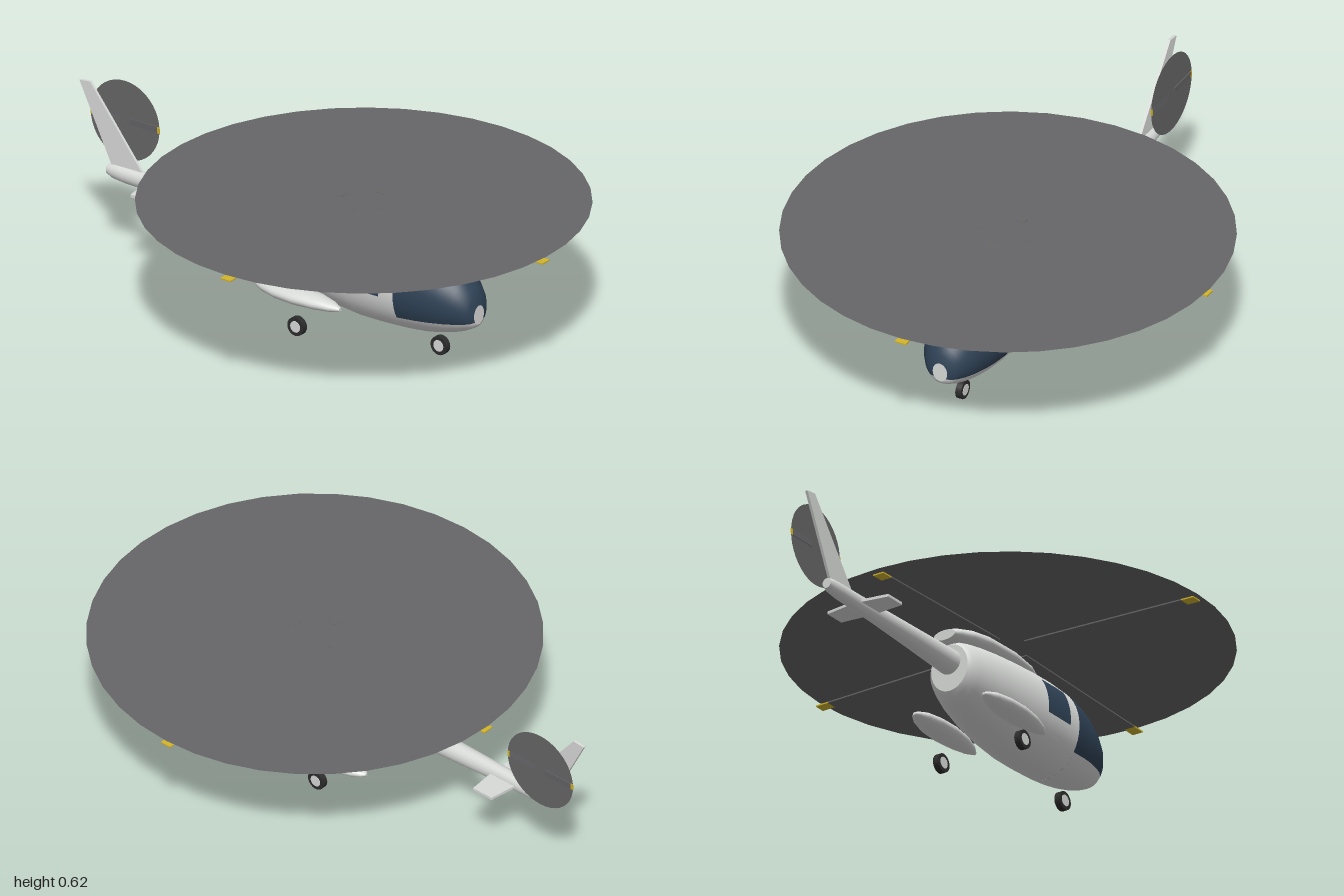
import * as THREE from 'three';

const mat = (name, color, side = THREE.FrontSide) => {
  const m = new THREE.MeshStandardMaterial({ color, side });
  m.name = name;
  return m;
};

// Linear interpolation in stations [z, bottom, top, halfWidth], z descending
function sectionAt(stations, z) {
  let i = 0;
  while (i < stations.length - 2 && stations[i + 1][0] > z) i++;
  const a = stations[i], b = stations[i + 1];
  const t = (z - a[0]) / (b[0] - a[0]);
  return a.map((v, k) => v + (b[k] - v) * t);
}

// Skin elliptical stations; range(z, cy, ry) limits the angles for open panels
function loft(stations, { range = null, caps = [false, false], n = 32, grow = 0 } = {}) {
  const pos = [], idx = [], cols = range ? n + 1 : n;
  const rings = stations.map(([z, bot, top, hw]) => {
    const cy = (bot + top) / 2, ry = (top - bot) / 2;
    const [a0, a1] = range ? range(z, cy, ry) : [0, Math.PI * 2];
    return Array.from({ length: cols }, (_, j) => {
      const a = a0 + (a1 - a0) * j / n;
      return [(hw + grow) * Math.cos(a), cy + (ry + grow) * Math.sin(a), z];
    });
  });
  rings.forEach(r => r.forEach(p => pos.push(...p)));
  for (let i = 0; i < rings.length - 1; i++) {
    for (let j = 0; j < n; j++) {
      const k = (j + 1) % cols, a = i * cols, b = a + cols;
      idx.push(a + j, b + j, a + k, b + j, b + k, a + k);
    }
  }
  // End caps with their own vertices, so the rim stays sharp
  [0, rings.length - 1].forEach((r, e) => {
    if (!caps[e]) return;
    const [z, bot, top] = stations[r], c = pos.length / 3;
    pos.push(0, (bot + top) / 2, z);
    rings[r].forEach(p => pos.push(...p));
    for (let j = 0; j < n; j++) {
      const p = c + 1 + j, q = c + 1 + (j + 1) % n;
      idx.push(c, ...(e ? [q, p] : [p, q]));
    }
  });
  const g = new THREE.BufferGeometry();
  g.setAttribute('position', new THREE.Float32BufferAttribute(pos, 3));
  g.setIndex(idx);
  g.computeVertexNormals();
  return g;
}

export function createModel() {
  const white = mat('bodyWhite', 0xd8dad8);
  const glass = mat('darkGlass', 0x2f4256, THREE.DoubleSide);
  const grey = mat('rotorGrey', 0x666668, THREE.DoubleSide);
  const yellow = mat('tipYellow', 0xd2b42c);
  const rubber = mat('tyreBlack', 0x2c2c2c);
  const model = new THREE.Group();
  const add = (name, geo, material, parent = model) => {
    const m = new THREE.Mesh(geo, material);
    m.name = name;
    parent.add(m);
    return m;
  };

  // Cabin: glass above the sill line, painted nose below it
  const nose = [
    [0.71, 0.155, 0.225, 0.028], [0.704, 0.145, 0.255, 0.05], [0.69, 0.136, 0.285, 0.068],
    [0.66, 0.121, 0.32, 0.089], [0.62, 0.107, 0.35, 0.106], [0.57, 0.094, 0.377, 0.121],
    [0.52, 0.085, 0.396, 0.131], [0.445, 0.077, 0.41, 0.139],
  ];
  const rear = [
    [0.445, 0.077, 0.41, 0.139], [0.35, 0.072, 0.416, 0.141], [0.25, 0.072, 0.414, 0.141],
    [0.15, 0.083, 0.408, 0.138], [0.05, 0.104, 0.4, 0.129], [-0.03, 0.127, 0.391, 0.116],
    [-0.09, 0.15, 0.381, 0.1], [-0.12, 0.167, 0.373, 0.089], [-0.135, 0.188, 0.36, 0.075],
  ];
  const angleAt = (y, cy, ry) => Math.asin(THREE.MathUtils.clamp((y - cy) / ry, -1, 1));
  const sill = (z, cy, ry) => angleAt(0.15 + 0.07 * (z - 0.445), cy, ry);
  add('canopy', loft(nose, { range: (z, cy, ry) => {
    const a = sill(z, cy, ry);
    return [a, Math.PI - a];
  } }), glass);
  add('lowerNose', loft(nose, { range: (z, cy, ry) => {
    const a = sill(z, cy, ry);
    return [Math.PI - a, Math.PI * 2 + a];
  } }), white);
  const cap = add('noseCap', new THREE.CircleGeometry(1, 24), white);
  cap.scale.set(0.028, 0.035, 1);
  cap.position.set(0, 0.19, 0.71);
  add('fuselage', loft(rear, { caps: [false, true], n: 40 }), white);

  // Side windows hugging the fuselage
  const windowStations = [0.387, 0.35, 0.3, 0.255].map(z => sectionAt(rear, z));
  for (const s of [1, -1]) {
    add('sideWindow', loft(windowStations, { n: 8, grow: 0.003, range: (z, cy, ry) => {
      const lo = angleAt(0.222, cy, ry), hi = angleAt(0.35, cy, ry);
      return s > 0 ? [lo, hi] : [Math.PI - hi, Math.PI - lo];
    } }), glass);
  }

  // Engine cowl
  add('engineCowl', loft([
    [0.36, 0.395, 0.413, 0.015], [0.32, 0.39, 0.422, 0.05], [0.26, 0.38, 0.433, 0.072],
    [0.15, 0.37, 0.443, 0.086], [0, 0.362, 0.441, 0.087], [-0.08, 0.362, 0.431, 0.077],
    [-0.14, 0.364, 0.416, 0.058], [-0.165, 0.368, 0.405, 0.044],
  ], { caps: [true, true] }), white);

  // Tail boom
  add('tailBoom', loft([
    [-0.1, 0.248, 0.341, 0.047], [-0.35, 0.261, 0.339, 0.037], [-0.6, 0.271, 0.337, 0.027],
    [-0.8, 0.277, 0.335, 0.025], [-0.85, 0.282, 0.334, 0.022], [-0.873, 0.292, 0.328, 0.017],
  ], { caps: [true, true], n: 24 }), white);

  // Thin swept plates from outlines
  const plate = (points, depth) => {
    const g = new THREE.ExtrudeGeometry(
      new THREE.Shape(points.map(p => new THREE.Vector2(...p))), { depth, bevelEnabled: false });
    return g.translate(0, 0, -depth / 2);
  };
  // Fin outline is (-z, y)
  const fin = add('tailFin', plate([[0.72, 0.325], [0.855, 0.325], [0.995, 0.61], [0.95, 0.615]], 0.01), white);
  fin.rotation.y = Math.PI / 2;
  // Stabilizer outline is (x, -z)
  const stabilizer = add('stabilizer', plate([
    [-0.126, 0.602], [0, 0.592], [0.126, 0.602], [0.126, 0.685], [0, 0.705], [-0.126, 0.685],
  ], 0.01), white);
  stabilizer.rotation.x = -Math.PI / 2;
  stabilizer.position.y = 0.303;

  // Side pods with main wheels
  const podGeo = loft([
    [0.225, 0.122, 0.136, 0.007], [0.19, 0.114, 0.149, 0.026], [0.13, 0.109, 0.159, 0.043],
    [0.05, 0.107, 0.164, 0.053], [-0.03, 0.11, 0.164, 0.05], [-0.09, 0.118, 0.16, 0.036],
    [-0.125, 0.128, 0.151, 0.018], [-0.137, 0.135, 0.145, 0.006],
  ], { caps: [true, true], n: 24 });
  const tyreGeo = new THREE.CylinderGeometry(0.034, 0.034, 0.022, 20).rotateZ(Math.PI / 2);
  const hubGeo = new THREE.CylinderGeometry(0.021, 0.021, 0.025, 16).rotateZ(Math.PI / 2);
  const addWheel = (name, x, z) => {
    const wheel = new THREE.Group();
    wheel.name = name;
    wheel.position.set(x, 0.034, z);
    add('tyre', tyreGeo, rubber, wheel);
    add('wheelHub', hubGeo, white, wheel);
    model.add(wheel);
  };
  for (const s of [1, -1]) {
    add('sidePod', podGeo, white).position.x = s * 0.143;
    addWheel('mainWheel', s * 0.168, 0.06);
  }
  addWheel('noseWheel', 0, 0.545);

  // Spinning discs with blades and painted tips
  function rotor(name, { radius, root, tip, chord, thick, count, droop, pitch, lift }) {
    const g = new THREE.Group();
    g.name = name;
    add('rotorDisc', new THREE.CircleGeometry(radius, 40).rotateX(-Math.PI / 2), grey, g).position.y = lift;
    for (let i = 0; i < count; i++) {
      const arm = new THREE.Group();
      arm.name = 'bladeArm';
      arm.rotation.y = i * Math.PI * 2 / count;
      const blade = new THREE.Group();
      blade.name = 'blade';
      blade.position.x = root;
      blade.rotation.set(pitch, 0, -droop);
      const inner = radius - root - tip;
      add('bladeSpan', new THREE.BoxGeometry(inner, thick, chord), grey, blade).position.x = inner / 2;
      add('bladeTip', new THREE.BoxGeometry(tip, thick, chord), yellow, blade).position.x = inner + tip / 2;
      arm.add(blade);
      g.add(arm);
    }
    model.add(g);
    return g;
  }
  rotor('mainRotor', {
    radius: 0.78, root: 0.08, tip: 0.05, chord: 0.042, thick: 0.005, count: 4,
    droop: 0.026, pitch: 0, lift: 0.0015,
  }).position.set(0, 0.482, 0.217);
  const tail = rotor('tailRotor', {
    radius: 0.147, root: 0.02, tip: 0.01, chord: 0.024, thick: 0.003, count: 2,
    droop: 0, pitch: 0.06, lift: 0,
  });
  tail.rotation.set(0, Math.PI / 2, -Math.PI / 2, 'ZYX');
  tail.rotation.set(Math.PI / 2, 0, -Math.PI / 2, 'XYZ');
  tail.position.set(0.062, 0.474, -0.85);

  return model;
}
